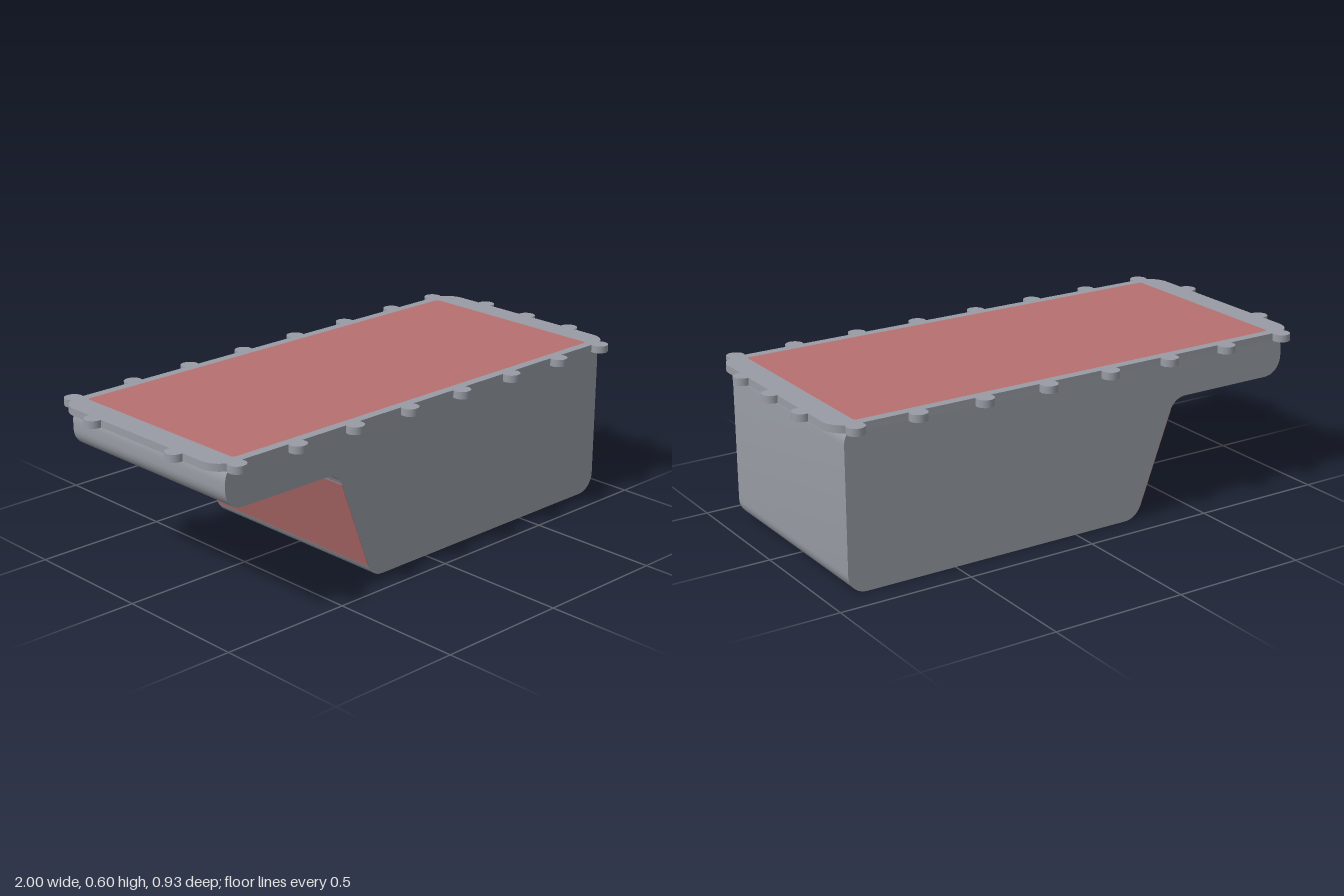
import * as THREE from 'three';
import { toCreasedNormals } from 'three/addons/utils/BufferGeometryUtils.js';

// Closed outline from [x, y, radius] corners, each rounded to a circular arc
function roundedOutline(corners, Type = THREE.Shape) {
  const outline = new Type();
  const n = corners.length;
  corners.forEach(([x, y, r], i) => {
    const p = new THREE.Vector2(x, y);
    const a = new THREE.Vector2(...corners[(i + n - 1) % n].slice(0, 2)).sub(p).normalize();
    const b = new THREE.Vector2(...corners[(i + 1) % n].slice(0, 2)).sub(p).normalize();
    const turn = Math.PI - Math.acos(a.dot(b));
    const t = r * Math.tan(turn / 2);
    const k = t - (4 / 3) * Math.tan(turn / 4) * r;
    const start = p.clone().addScaledVector(a, t);
    const end = p.clone().addScaledVector(b, t);
    const c1 = p.clone().addScaledVector(a, k);
    const c2 = p.clone().addScaledVector(b, k);
    if (i === 0) outline.moveTo(start.x, start.y);
    else outline.lineTo(start.x, start.y);
    outline.bezierCurveTo(c1.x, c1.y, c2.x, c2.y, end.x, end.y);
  });
  outline.closePath();
  return outline;
}

const rectangle = (w, d, r) => [[-w, -d, r], [w, -d, r], [w, d, r], [-w, d, r]];

function extrude(shape, depth) {
  const geometry = new THREE.ExtrudeGeometry(shape, { depth, bevelEnabled: false, curveSegments: 10 });
  return toCreasedNormals(geometry, 0.5);
}

// Horizontal slab between two heights
function slab(shape, bottom, top) {
  return extrude(shape, top - bottom).rotateX(-Math.PI / 2).translate(0, bottom, 0);
}

export function createModel() {
  const model = new THREE.Group();
  model.name = 'sumpPan';

  const grey = new THREE.MeshStandardMaterial({ color: 0x989ca4 });
  grey.name = 'grey metal';
  const red = new THREE.MeshStandardMaterial({ color: 0xb87070 });
  red.name = 'muted red';

  const add = (name, geometry, material, parent = model) => {
    const mesh = new THREE.Mesh(geometry, material);
    mesh.name = name;
    parent.add(mesh);
    return mesh;
  };

  const top = 0.6, rimBottom = 0.573;
  const halfDepth = 0.403;
  const slopeTop = new THREE.Vector2(-0.425, 0.43);
  const slopeFoot = new THREE.Vector2(-0.265, 0);

  // Stepped body: shallow shelf on one side, deep well on the other
  const profile = roundedOutline([
    [-0.917, 0.597, 0.07],
    [-0.917, 0.43, 0.07],
    [slopeTop.x, slopeTop.y, 0.07],
    [slopeFoot.x, slopeFoot.y, 0.07],
    [0.915, 0, 0.07],
    [0.915, 0.597, 0.07],
  ]);
  add('body', extrude(profile, halfDepth * 2).translate(0, 0, -halfDepth), grey);

  // Red face on the flat part of the slope, between its two rounded ends
  const along = slopeTop.clone().sub(slopeFoot);
  const middle = slopeTop.clone().add(slopeFoot).multiplyScalar(0.5);
  const slopeFace = add('slopeFace',
    new THREE.BoxGeometry(0.003, along.length() - 0.098, halfDepth * 2), red);
  slopeFace.position.set(middle.x, middle.y, 0);
  slopeFace.rotation.z = Math.atan2(along.y, along.x) - Math.PI / 2;

  // Mounting rim with its opening filled by a flush red panel
  const rim = roundedOutline(rectangle(0.96, 0.42, 0.08));
  rim.holes.push(roundedOutline(rectangle(0.866, 0.385, 0.012), THREE.Path));
  add('rim', slab(rim, rimBottom, top), grey);
  add('topPanel', slab(roundedOutline(rectangle(0.866, 0.385, 0.012)), top - 0.006, top), red);

  // Bolt lugs around the rim
  const lugs = new THREE.Group();
  lugs.name = 'boltLugs';
  model.add(lugs);
  const lugGeometry = new THREE.CylinderGeometry(0.033, 0.033, top - rimBottom, 24);
  const addLug = (x, z) => add('boltLug', lugGeometry, grey, lugs)
    .position.set(x, (top + rimBottom) / 2, z);
  for (const x of [-0.89, -0.632, -0.375, -0.118, 0.14, 0.397, 0.654, 0.887]) {
    for (const side of [-1, 1]) addLug(x, side * 0.432);
  }
  for (const z of [-0.215, 0.215]) addLug(-0.967, z);
  for (const z of [-0.215, 0, 0.215]) addLug(0.967, z);

  return model;
}
